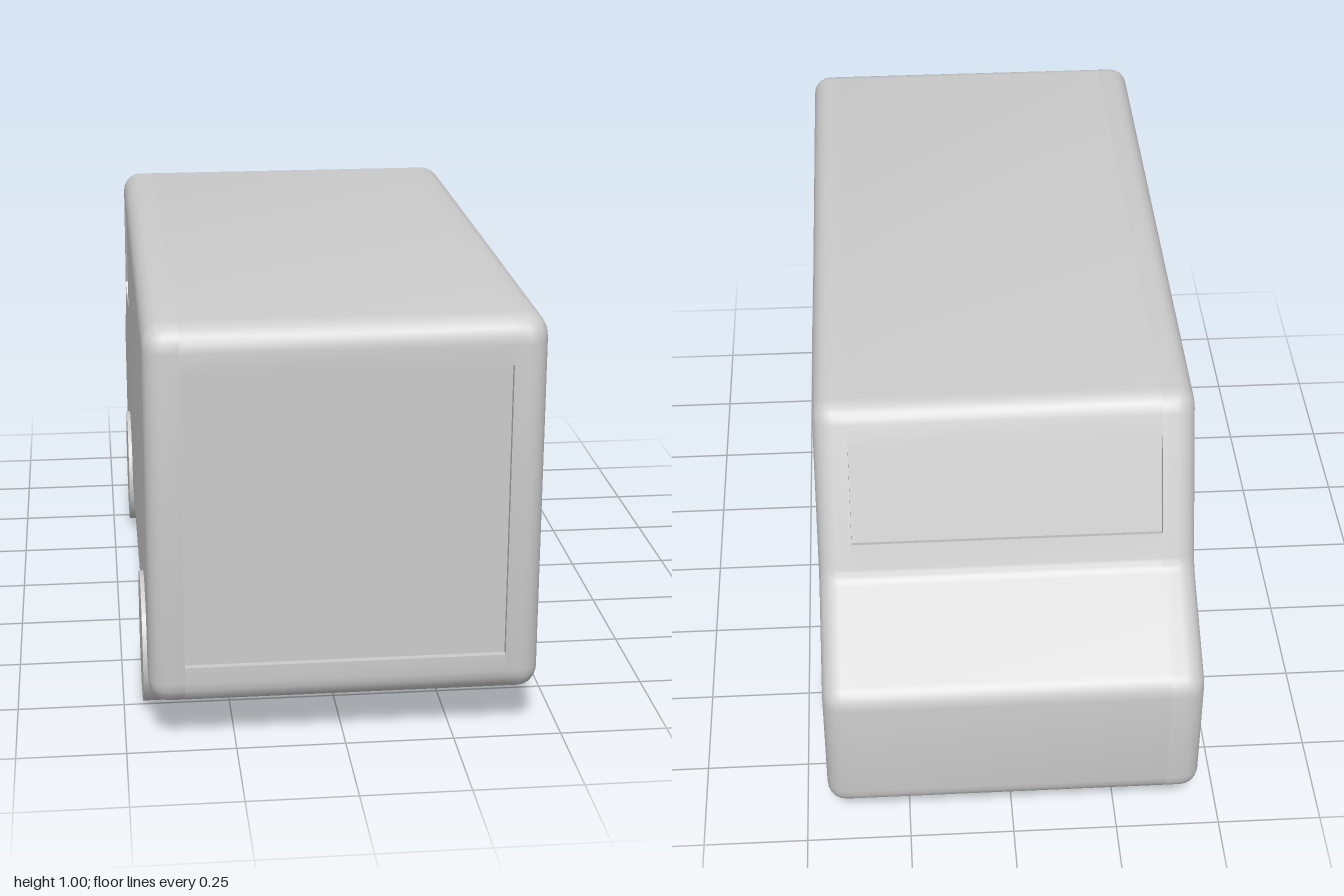
import * as THREE from 'three';
import { mergeGeometries, toCreasedNormals } from 'three/addons/utils/BufferGeometryUtils.js';

const material = new THREE.MeshStandardMaterial({ color: 0xcccccc });
const V = (u, v) => new THREE.Vector2(u, v);

// Side profile in (u, v) = (-z, y), counter-clockwise from the lower cargo corner
const CORNERS = [V(-1, 0.105), V(1, 0.105), V(1, 0.465), V(0.745, 0.615), V(0.593, 1), V(-1, 1)];
const STEPS = 5, RADIUS = 0.06, BEVEL = 0.045;
const HALF = 0.445, INNER = 0.365; // body half width, half width of the recessed panels
const SINK = 0.015; // how deep the panels lie below the skin

const leftOf = (a) => V(-a.y, a.x);

// Rounded profile, inset by d; always the same number of points
function outline(d) {
  const pts = [];
  CORNERS.forEach((p, i) => {
    const a = p.clone().sub(CORNERS[(i + 5) % 6]).normalize();
    const b = CORNERS[(i + 1) % 6].clone().sub(p).normalize();
    const turn = Math.atan2(a.cross(b), a.dot(b));
    const s = Math.sign(turn);
    const centre = p.clone()
      .addScaledVector(a, -RADIUS * Math.tan(Math.abs(turn) / 2))
      .addScaledVector(leftOf(a), RADIUS * s);
    for (let k = 0; k <= STEPS; k++) {
      const n = leftOf(a).rotateAround(V(0, 0), (turn * k) / STEPS);
      pts.push(centre.clone().addScaledVector(n, -s * (RADIUS - s * d)));
    }
  });
  return pts;
}

// Straight prism of a profile between two x positions
function prism(points, x0, x1, hole) {
  const shape = new THREE.Shape(points);
  if (hole) shape.holes.push(new THREE.Path(hole));
  return new THREE.ExtrudeGeometry(shape, { depth: x1 - x0, bevelEnabled: false })
    .translate(0, 0, x0)
    .rotateY(Math.PI / 2);
}

// The four corners of a notch from p to q, between two depths
function notch(p, q, from, to) {
  const n = leftOf(q.clone().sub(p).normalize());
  const at = (c, d) => c.clone().addScaledVector(n, d);
  return [at(p, from), at(p, to), at(q, to), at(q, from)];
}

// Skin of one side: straight strip, then rounded edge running into the flat side
function edgeSkin() {
  const rings = [[INNER, 0]];
  for (let k = 0; k <= STEPS; k++) {
    const t = (k / STEPS) * Math.PI / 2;
    rings.push([HALF - BEVEL + BEVEL * Math.sin(t), BEVEL * (1 - Math.cos(t))]);
  }
  const pos = [], index = [];
  const n = CORNERS.length * (STEPS + 1);
  rings.forEach(([x, d], k) => {
    outline(d).forEach((p, i) => {
      pos.push(x, p.y, -p.x);
      if (k === 0) return;
      const j = (i + 1) % n, lo = (k - 1) * n, hi = k * n;
      index.push(lo + i, lo + j, hi + j, lo + i, hi + j, hi + i);
    });
  });
  const g = new THREE.BufferGeometry();
  g.setAttribute('position', new THREE.Float32BufferAttribute(pos, 3));
  g.setIndex(index);
  return g.toNonIndexed();
}

function merged(parts) {
  const list = parts.map((g) => {
    const out = g.index ? g.toNonIndexed() : g;
    out.deleteAttribute('uv');
    out.deleteAttribute('normal');
    return out;
  });
  const g = mergeGeometries(list);
  g.computeVertexNormals();
  return toCreasedNormals(g, 0.6);
}

export function createModel() {
  const model = new THREE.Group();
  model.name = 'van';
  const add = (name, geometry, parent = model) => {
    const mesh = new THREE.Mesh(geometry, material);
    mesh.name = name;
    parent.add(mesh);
    return mesh;
  };

  // Points on the sloping cab front and on the cargo end where the panels sit
  const slope = (t) => CORNERS[3].clone().lerp(CORNERS[4], t);
  const glass = [slope(0.2), slope(0.77)];
  const door = [V(-1, 0.895), V(-1, 0.205)];

  // Middle of the body, notched for the windshield and the cargo door
  const pts = outline(0), cut = 4 * (STEPS + 1);
  const core = [...pts.slice(0, cut), ...notch(...glass, 0, 2 * SINK), ...pts.slice(cut), ...notch(...door, 0, 2 * SINK)];
  add('bodyCore', merged([prism(core, -INNER, INNER)]));
  add('windshield', prism(notch(...glass, SINK, 2 * SINK), -INNER, INNER));
  add('cargoDoor', prism(notch(...door, SINK, 2 * SINK), -INNER, INNER));

  // Body sides with window openings
  const opening = [V(0.355, 0.667), V(0.605, 0.64), V(0.627, 0.67), V(0.53, 0.916), V(0.353, 0.916)];
  const innerWall = new THREE.ShapeGeometry(new THREE.Shape(outline(0)))
    .rotateY(Math.PI / 2).scale(-1, 1, 1).translate(INNER, 0, 0);
  // mirroring reversed the corner order of the ring, so the wall looks inward
  const wallIndex = innerWall.index.array;
  const flips = new THREE.Vector3(), e1 = new THREE.Vector3(), e2 = new THREE.Vector3();
  const at = (k) => new THREE.Vector3().fromBufferAttribute(innerWall.attributes.position, wallIndex[k]);
  e1.subVectors(at(1), at(0));
  e2.subVectors(at(2), at(0));
  if (flips.crossVectors(e1, e2).x > 0) wallIndex.reverse();

  const sideGeometry = merged([edgeSkin(), innerWall, prism(outline(BEVEL), HALF - 0.03, HALF, opening)]);
  const windowGeometry = prism(opening, HALF - 0.03, HALF - 0.008);

  // Wheels
  const wheelGeometry = toCreasedNormals(
    new THREE.CylinderGeometry(0.155, 0.155, 0.11, 20).rotateZ(Math.PI / 2), 0.6);

  for (const s of [1, -1]) {
    const side = new THREE.Group();
    side.name = s > 0 ? 'leftSide' : 'rightSide';
    side.scale.x = s;
    model.add(side);
    add('sidePanel', sideGeometry, side);
    add('sideWindow', windowGeometry, side);
    for (const z of [0.7, -0.5]) {
      add(z > 0 ? 'cargoWheel' : 'cabWheel', wheelGeometry, side).position.set(0.4, 0.155, z);
    }
  }
  return model;
}
